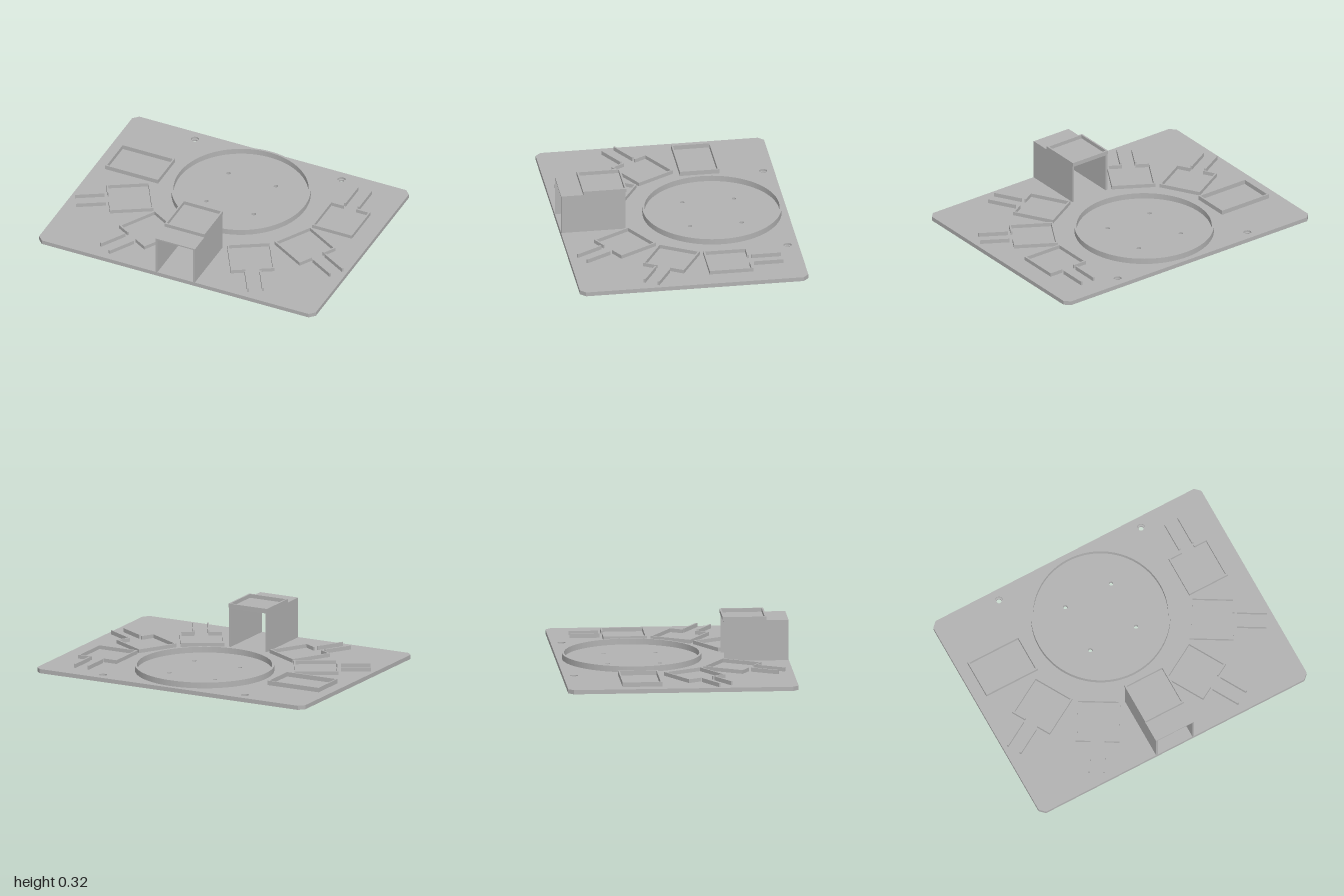
import * as THREE from 'three';

const PLATE = 0.028; // plate thickness
const HUB_Z = -0.265; // centre of the ring and of the radial bays

export function createModel() {
  const root = new THREE.Group();
  root.name = 'displayBase';
  const grey = new THREE.MeshStandardMaterial({ color: 0xb2b2b2 });
  grey.name = 'plainGrey';

  const add = (parent, geometry, name) => {
    const mesh = new THREE.Mesh(geometry, grey);
    mesh.name = name;
    parent.add(mesh);
    return mesh;
  };

  // box given by its min and max corners
  const box = (parent, name, x0, x1, y0, y1, z0, z1) => {
    const mesh = add(parent, new THREE.BoxGeometry(x1 - x0, y1 - y0, z1 - z0), name);
    mesh.position.set((x0 + x1) / 2, (y0 + y1) / 2, (z0 + z1) / 2);
    return mesh;
  };

  // extrude a floor-plan shape (shape y = -z) upward from y0 to y1
  const slab = (parent, name, shape, y0, y1, curveSegments = 24) => {
    const g = new THREE.ExtrudeGeometry(shape, { depth: y1 - y0, bevelEnabled: false, curveSegments });
    g.rotateX(-Math.PI / 2);
    g.translate(0, y0, 0);
    return add(parent, g, name);
  };

  const circle = (x, z, r) => new THREE.Path().absarc(x, -z, r, 0, Math.PI * 2, true);

  const rect = (Type, x0, x1, z0, z1) => new Type([
    [x0, -z1], [x1, -z1], [x1, -z0], [x0, -z0],
  ].map(([x, y]) => new THREE.Vector2(x, y)));

  const frame = (parent, name, x0, x1, z0, z1, y0, y1, t) => {
    const s = rect(THREE.Shape, x0, x1, z0, z1);
    s.holes.push(rect(THREE.Path, x0 + t, x1 - t, z0 + t, z1 - t));
    return slab(parent, name, s, y0, y1);
  };

  // base plate in two layers: blind recesses below, counterbores above
  const plateShape = (screwRadius, recesses) => {
    const w = 1, d = 0.757, c = 0.036;
    const s = new THREE.Shape([
      [-w + c, -d], [w - c, -d], [w, -d + c], [w, d - c],
      [w - c, d], [-w + c, d], [-w, d - c], [-w, -d + c],
    ].map(([x, y]) => new THREE.Vector2(x, y)));
    for (const side of [-1, 1]) {
      s.holes.push(circle(side * 0.53, -0.685, screwRadius));
      s.holes.push(circle(side * 0.171, HUB_Z - 0.171, 0.014));
      s.holes.push(circle(side * 0.171, HUB_Z + 0.171, 0.014));
      if (recesses) {
        s.holes.push(circle(side * 0.54, -0.14, 0.027));
        s.holes.push(circle(side * 0.312, 0.398, 0.027));
      }
    }
    return s;
  };
  slab(root, 'plateLower', plateShape(0.016, true), 0, PLATE / 2);
  slab(root, 'plateUpper', plateShape(0.026, false), PLATE / 2, PLATE);

  // large round rim
  const ring = new THREE.Shape().absarc(0, -HUB_Z, 0.457, 0, Math.PI * 2, false);
  ring.holes.push(circle(0, HUB_Z, 0.443));
  slab(root, 'roundRim', ring, PLATE, 0.067, 64);

  // rectangular tray
  frame(root, 'trayRim', -0.922, -0.54, -0.396, -0.135, PLATE, 0.058, 0.01);

  // square bay open at +z, with two guide rails leading out
  const H = 0.144, T = 0.011, GAP = 0.046, TOP = 0.053;
  const bay = (x, z, angle) => {
    const g = new THREE.Group();
    g.name = 'bay';
    g.position.set(x, 0, z);
    g.rotation.y = angle;
    const p = [
      [-GAP, H], [-H, H], [-H, -H], [H, -H], [H, H], [GAP, H],
      [GAP, H - T], [H - T, H - T], [H - T, -H + T],
      [-H + T, -H + T], [-H + T, H - T], [-GAP, H - T],
    ];
    slab(g, 'bayWall', new THREE.Shape(p.map(([a, b]) => new THREE.Vector2(a, -b))), PLATE, TOP);
    for (const side of [-1, 1]) {
      const cx = side * 0.049;
      box(g, 'guideRail', cx - 0.006, cx + 0.006, PLATE, 0.055, 0.163, 0.358);
    }
    root.add(g);
  };
  for (const deg of [-60, -30, 30, 60]) {
    const a = THREE.MathUtils.degToRad(deg);
    bay(Math.sin(a) * 0.731, HUB_Z + Math.cos(a) * 0.731, a);
  }
  bay(0.725, HUB_Z + 0.003, Math.PI);

  // raised bridge at the front, open at both ends
  const bridge = new THREE.Group();
  bridge.name = 'bridge';
  root.add(bridge);
  const z0 = 0.33, z1 = 0.755, W = 0.142, deck = 0.297;
  for (const side of [-1, 1]) {
    const inner = side * (W - 0.013), outer = side * W;
    box(bridge, 'bridgeWall', Math.min(inner, outer), Math.max(inner, outer), PLATE, 0.288, z0, z1);
  }
  box(bridge, 'bridgeDeck', -W, W, 0.288, deck, z0, z1);
  frame(bridge, 'bridgeRim', -0.144, 0.144, 0.322, 0.61, deck, 0.322, T);

  return root;
}
